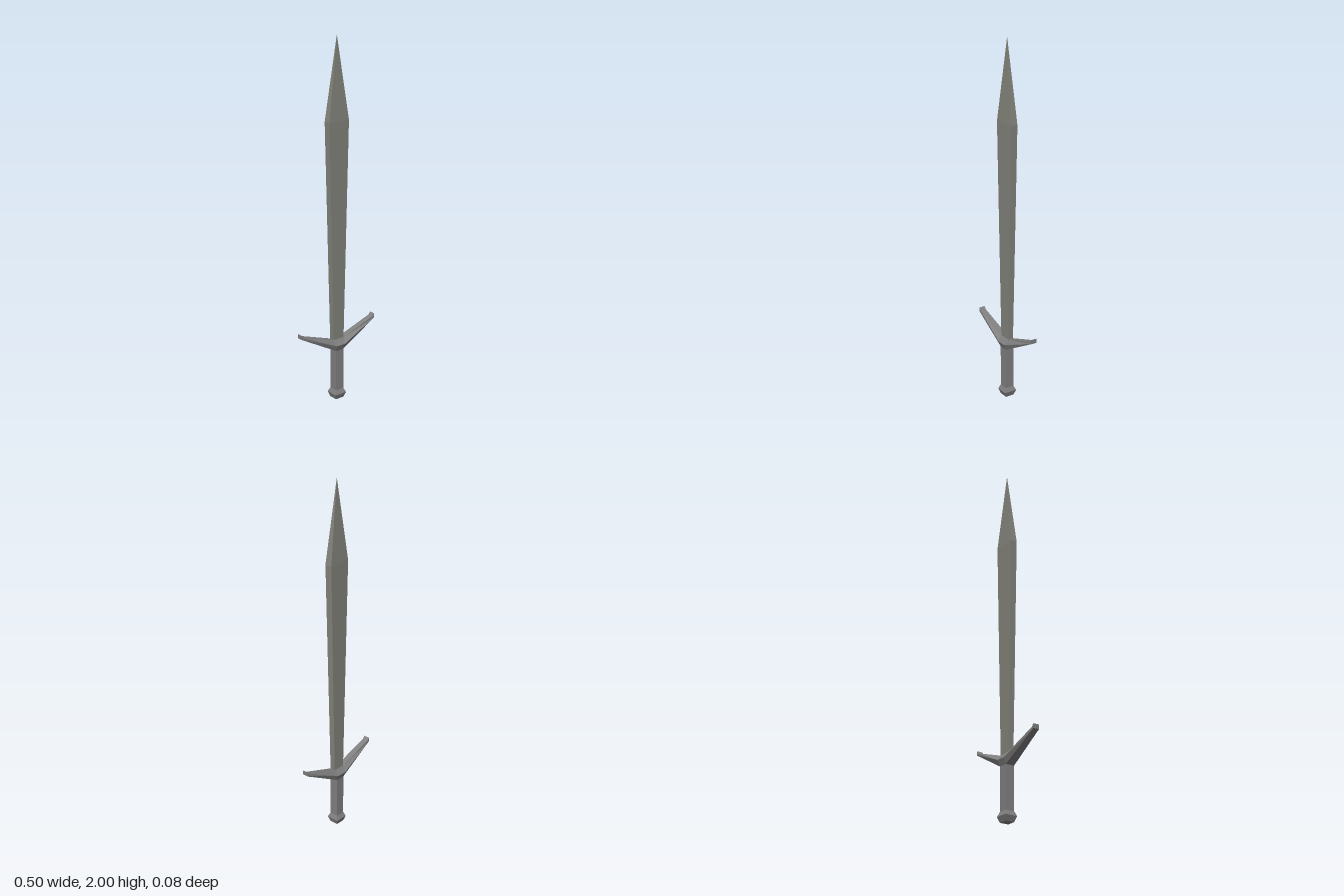
import * as THREE from 'three';

const steel = new THREE.MeshStandardMaterial({ color: 0x83847b, flatShading: true });
steel.name = 'blade steel';
const iron = new THREE.MeshStandardMaterial({ color: 0x808080, flatShading: true });
iron.name = 'hilt iron';

// Skin a list of equal-sized rings, each counter-clockwise about the loft direction, and cap both ends
function loft(rings) {
  const pos = [];
  const tri = (a, b, c) => pos.push(...a, ...b, ...c);
  const n = rings[0].length;
  for (let r = 0; r < rings.length - 1; r++) {
    const a = rings[r], b = rings[r + 1];
    for (let i = 0; i < n; i++) {
      const j = (i + 1) % n;
      tri(a[i], a[j], b[j]);
      tri(a[i], b[j], b[i]);
    }
  }
  const first = rings[0], last = rings[rings.length - 1];
  for (let i = 1; i < n - 1; i++) {
    tri(first[0], first[i + 1], first[i]);
    tri(last[0], last[i], last[i + 1]);
  }
  const geometry = new THREE.BufferGeometry();
  geometry.setAttribute('position', new THREE.Float32BufferAttribute(pos, 3));
  geometry.computeVertexNormals();
  return geometry;
}

// Rectangular ring at height y with half width w and half depth d
const rect = (y, w, d) => [[w, y, d], [w, y, -d], [-w, y, -d], [-w, y, d]];

// Six-sided guard ring; each corner pair is [x, y, half depth]
const hex = (side, [bottom, middle, top]) => {
  const corner = ([x, y, d], s) => [side * x, y, s * d];
  return [corner(bottom, -1), corner(middle, -1), corner(top, -1),
    corner(top, 1), corner(middle, 1), corner(bottom, 1)];
};

export function createModel() {
  const sword = new THREE.Group();
  sword.name = 'sword';
  const add = (name, geometry, material) => {
    const mesh = new THREE.Mesh(geometry, material);
    mesh.name = name;
    sword.add(mesh);
  };

  // Blade widens towards the shoulder, then runs to a point
  add('blade', loft([
    rect(0.32, 0.034, 0.015), rect(1.56, 0.064, 0.02), rect(2, 0.0003, 0.0003),
  ]), steel);

  // Guard: upswept arms with small hooked ends
  const arm = [
    [[0.026, 0.29, 0.025], [0.029, 0.323, 0.038], [0.036, 0.353, 0.017]],
    [[0.24, 0.407, 0.017], [0.24, 0.411, 0.0175], [0.24, 0.423, 0.017]],
    [[0.252, 0.413, 0.017], [0.252, 0.417, 0.0175], [0.252, 0.438, 0.017]],
  ];
  add('crossguard', loft([
    ...[...arm].reverse().map((s) => hex(-1, s)),
    ...arm.map((s) => hex(1, s)),
  ]), iron);

  // Square grip
  add('grip', loft([rect(0.05, 0.026, 0.025), rect(0.3, 0.026, 0.025)]), iron);

  // Flared pommel
  add('pommel', loft([
    rect(0, 0.026, 0.025), rect(0.03, 0.036, 0.036), rect(0.055, 0.026, 0.025),
  ]), iron);

  return sword;
}
